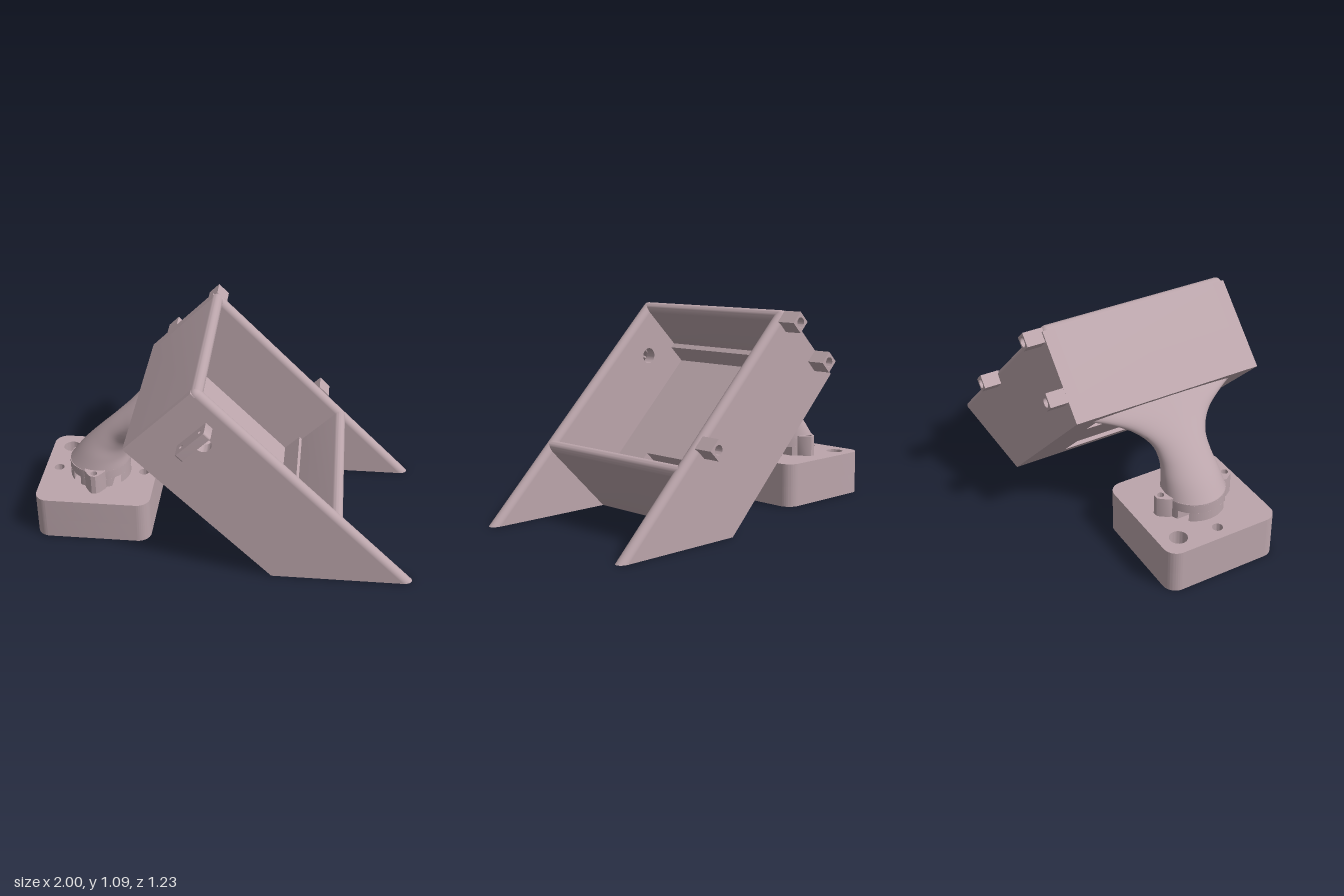
import * as THREE from 'three';
import { toCreasedNormals } from 'three/addons/utils/BufferGeometryUtils.js';

const material = new THREE.MeshStandardMaterial({ color: 0xbba5ab });
const V2 = (x, y) => new THREE.Vector2(x, y);

function add(parent, name, geometry) {
  const mesh = new THREE.Mesh(geometry, material);
  mesh.name = name;
  parent.add(mesh);
  return mesh;
}

function extrude(shape, depth) {
  const g = new THREE.ExtrudeGeometry(shape, { depth, bevelEnabled: false, curveSegments: 20 });
  return toCreasedNormals(g, 0.6);
}

// Extrusion whose depth runs upwards; shape y becomes -z
const extrudeUp = (shape, y0, y1) => extrude(shape, y1 - y0).rotateX(-Math.PI / 2).translate(0, y0, 0);

const circle = (x, y, r) => new THREE.Path().absarc(x, y, r, 0, Math.PI * 2);

function rect(x0, x1, y0, y1, Type = THREE.Shape) {
  return new Type([V2(x0, y0), V2(x1, y0), V2(x1, y1), V2(x0, y1)]);
}

function roundedRect(x0, x1, y0, y1, r) {
  const s = new THREE.Shape();
  s.absarc(x1 - r, y1 - r, r, 0, Math.PI / 2);
  s.absarc(x0 + r, y1 - r, r, Math.PI / 2, Math.PI);
  s.absarc(x0 + r, y0 + r, r, Math.PI, Math.PI * 1.5);
  s.absarc(x1 - r, y0 + r, r, Math.PI * 1.5, Math.PI * 2);
  return s;
}

// Tilted open box: x runs down the slope, y out of the opening
function buildTray() {
  const tray = new THREE.Group();
  tray.name = 'tray';
  tray.position.set(-0.4615, 0.7415, 0);
  tray.rotation.z = -Math.PI / 4;
  const L = 1.049, H = 0.479, R = 0.0325, Z = 0.4875;

  // Side panels with rounded front edges, cut off at the ground
  for (const side of [1, -1]) {
    const shape = new THREE.Shape([V2(0, 0), V2(L, 0), V2(L + H, H), V2(0, H)]);
    if (side > 0) shape.holes.push(circle(0.2425, 0.318, 0.042));
    add(tray, 'sidePanel', extrude(shape, 2 * R)).position.z = side * Z - R;

    const edge = new THREE.CylinderGeometry(R, R, 1, 32).rotateZ(-Math.PI / 2);
    const p = edge.attributes.position;
    for (let i = 0; i < p.count; i++) p.setX(i, p.getX(i) > 0 ? L + H + p.getY(i) : R);
    add(tray, 'panelEdge', edge).position.set(0, H, side * Z);
    add(tray, 'roundedCorner', new THREE.SphereGeometry(R, 24, 16)).position.set(R, H, side * Z);
  }

  // End walls with a rounded rim and an inner ledge
  const wall = (name, ledge, map) => {
    const pts = [[0, 0], [ledge, 0], [ledge, 0.22], [2 * R, 0.22]];
    for (let i = 0; i <= 16; i++) {
      const a = Math.PI * i / 16;
      pts.push([R + R * Math.cos(a), H + R * Math.sin(a)]);
    }
    const shape = new THREE.Shape(pts.map(([u, v]) => V2(map(u), v)));
    add(tray, name, extrude(shape, 2 * Z)).position.z = -Z;
  };
  wall('upperWall', 0.095, u => u);
  wall('lowerWall', 0.085, u => L - u);

  // Back plate with two windows
  const plate = rect(0.04, L - 0.04, -Z, Z);
  plate.holes.push(rect(0.737, 0.95, -0.255, 0.255, THREE.Path));
  plate.holes.push(rect(0.165, 0.313, 0.17, 0.355, THREE.Path));
  add(tray, 'backPlate', extrudeUp(plate, 0, 0.107));

  // Mounting tab with two screw holes
  const tab = roundedRect(-0.61, -0.51, 0.22, 0.42, 0.008);
  for (const v of [0.255, 0.385]) tab.holes.push(circle(-0.565, v, 0.011));
  add(tray, 'mountingTab', extrude(tab, 0.045).rotateY(Math.PI / 2).translate(0.162, 0, 0));

  // Square sockets on the other side
  for (const [u, v] of [[0.048, 0.463], [0.038, 0.15], [0.856, 0.473]]) {
    const socket = rect(-0.0375, 0.0375, -0.0375, 0.0375);
    socket.holes.push(circle(0, 0, 0.025));
    add(tray, 'socket', extrude(socket, 0.105)).position.set(u, v, -0.615);
  }
  return tray;
}

// Curved neck lofted from a round foot to a wide flare
function neckGeometry() {
  // Upper x, y, lower x, y, half width
  const sections = [
    [-0.853, 0.33, -0.527, 0.33, 0.163], [-0.78, 0.42, -0.53, 0.39, 0.15],
    [-0.70, 0.50, -0.512, 0.45, 0.138], [-0.62, 0.57, -0.475, 0.505, 0.15],
    [-0.535, 0.635, -0.425, 0.56, 0.215], [-0.465, 0.685, -0.37, 0.61, 0.33],
    [-0.41, 0.72, -0.31, 0.62, 0.44],
  ];
  const upper = new THREE.CatmullRomCurve3(sections.map(s => new THREE.Vector3(s[0], s[1], s[4])));
  const lower = new THREE.CatmullRomCurve3(sections.map(s => new THREE.Vector3(s[2], s[3], s[4])));
  const rings = 36, n = 48, pos = [], index = [];
  for (let j = 0; j <= rings; j++) {
    const u = upper.getPoint(j / rings), l = lower.getPoint(j / rings);
    for (let i = 0; i <= n; i++) {
      const a = (i % n) / n * Math.PI * 2, k = (1 + Math.cos(a)) / 2;
      pos.push(u.x + (l.x - u.x) * k, u.y + (l.y - u.y) * k, u.z * Math.sin(a));
      if (j < rings && i < n) {
        const p = j * (n + 1) + i, q = p + n + 1;
        index.push(p, q, p + 1, p + 1, q, q + 1);
      }
    }
  }
  const g = new THREE.BufferGeometry();
  g.setAttribute('position', new THREE.Float32BufferAttribute(pos, 3));
  g.setIndex(index);
  return toCreasedNormals(g, 0.8);
}

function buildStand() {
  const stand = new THREE.Group();
  stand.name = 'stand';
  const cx = -0.69, r = 0.163, top = 0.235;

  // Base block with blind holes in its top
  const block = () => roundedRect(-1, -0.385, -0.305, 0.315, 0.07);
  add(stand, 'baseBottom', extrudeUp(block(), 0, 0.11));
  const upper = block();
  upper.holes.push(circle(-0.895, 0.21, 0.046), circle(-0.925, 0.005, 0.027), circle(-0.455, 0.005, 0.027));
  add(stand, 'baseTop', extrudeUp(upper, 0.11, top));

  // Round foot: a disc on three supports, leaving two slots
  const disc = new THREE.Shape().absarc(cx, 0, r, 0, Math.PI * 2);
  add(stand, 'footDisc', extrudeUp(disc, 0.285, 0.335));
  const inner = Math.acos(0.085 / r), outer = Math.acos(0.127 / r);
  const middle = new THREE.Shape();
  middle.absarc(cx, 0, r, inner, Math.PI - inner);
  middle.absarc(cx, 0, r, Math.PI + inner, 2 * Math.PI - inner);
  add(stand, 'footSupport', extrudeUp(middle, top, 0.285));
  for (const a of [0, Math.PI]) {
    const piece = new THREE.Shape().absarc(cx, 0, r, a - outer, a + outer);
    add(stand, 'footSupport', extrudeUp(piece, top, 0.285));
  }

  // Screw lugs on both sides of the foot
  for (const side of [1, -1]) {
    const lug = new THREE.Shape([V2(-0.055, 0.13), V2(0.055, 0.13), V2(0.055, 0.165), V2(0.028, 0.205),
      V2(0.012, 0.218), V2(-0.012, 0.218), V2(-0.028, 0.205), V2(-0.055, 0.165)]);
    lug.holes.push(circle(0, 0.188, 0.018));
    const mesh = add(stand, 'screwLug', extrudeUp(lug, top, 0.345));
    mesh.position.x = cx;
    if (side < 0) mesh.rotation.y = Math.PI;
  }

  add(stand, 'neck', neckGeometry());
  return stand;
}

export function createModel() {
  const model = new THREE.Group();
  model.name = 'tiltedHolder';
  model.add(buildTray(), buildStand());
  return model;
}
